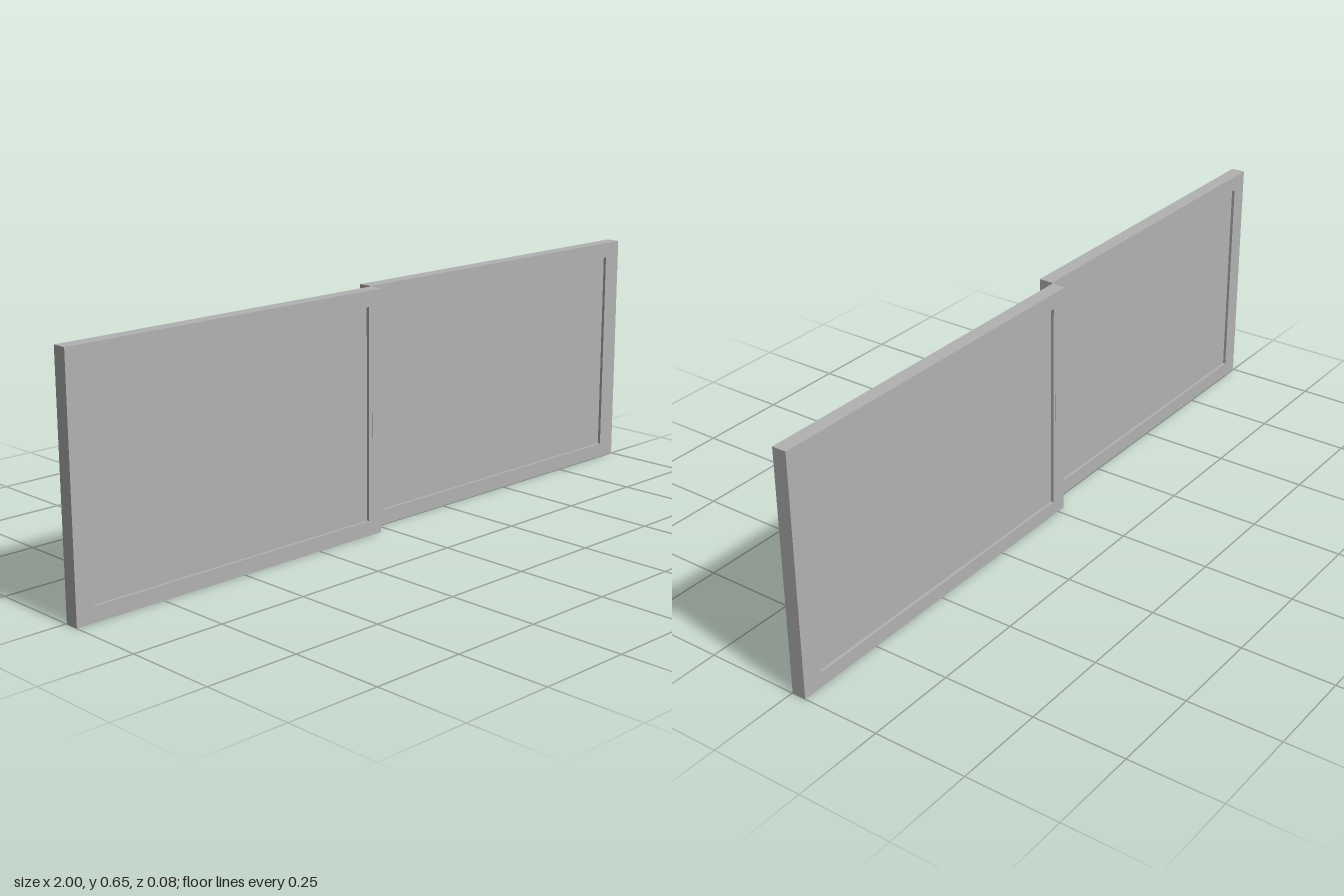
import * as THREE from 'three';

const HEIGHT = 0.65;
const DEPTH = 0.0385;

// One sliding sash: frame with a hole, a slightly recessed pane and a thin pull plate
function createSash(name, x0, x1, paneX0, paneX1, pullX, z, material) {
  const sash = new THREE.Group();
  sash.name = name;
  const paneY0 = 0.04, paneY1 = 0.608;

  const add = (partName, geometry, x, y, zPos) => {
    const mesh = new THREE.Mesh(geometry, material);
    mesh.name = partName;
    mesh.position.set(x, y, zPos);
    sash.add(mesh);
  };

  // Frame
  const outline = new THREE.Shape([
    new THREE.Vector2(x0, 0), new THREE.Vector2(x1, 0),
    new THREE.Vector2(x1, HEIGHT), new THREE.Vector2(x0, HEIGHT),
  ]);
  outline.holes.push(new THREE.Path([
    new THREE.Vector2(paneX0, paneY0), new THREE.Vector2(paneX0, paneY1),
    new THREE.Vector2(paneX1, paneY1), new THREE.Vector2(paneX1, paneY0),
  ]));
  const frame = new THREE.ExtrudeGeometry(outline, { depth: DEPTH, bevelEnabled: false });
  add('frame', frame, 0, 0, z - DEPTH / 2);

  // Pane, recessed on both faces
  const pane = new THREE.BoxGeometry(paneX1 - paneX0, paneY1 - paneY0, DEPTH - 0.016);
  add('pane', pane, (paneX0 + paneX1) / 2, (paneY0 + paneY1) / 2, z);

  // Pull plate, standing just proud of both faces
  add('pull', new THREE.BoxGeometry(0.03, 0.1, DEPTH + 0.003), pullX, 0.315, z);
  return sash;
}

export function createModel() {
  const model = new THREE.Group();
  model.name = 'slidingWindow';
  const grey = new THREE.MeshStandardMaterial({ color: 0xb2b2b2 });
  grey.name = 'window grey';

  model.add(
    createSash('frontSash', -1, -0.03, -0.95, -0.074, -0.049, 0.0215, grey),
    createSash('rearSash', -0.026, 1, 0.022, 0.944, -0.001, -0.0205, grey),
  );
  return model;
}
